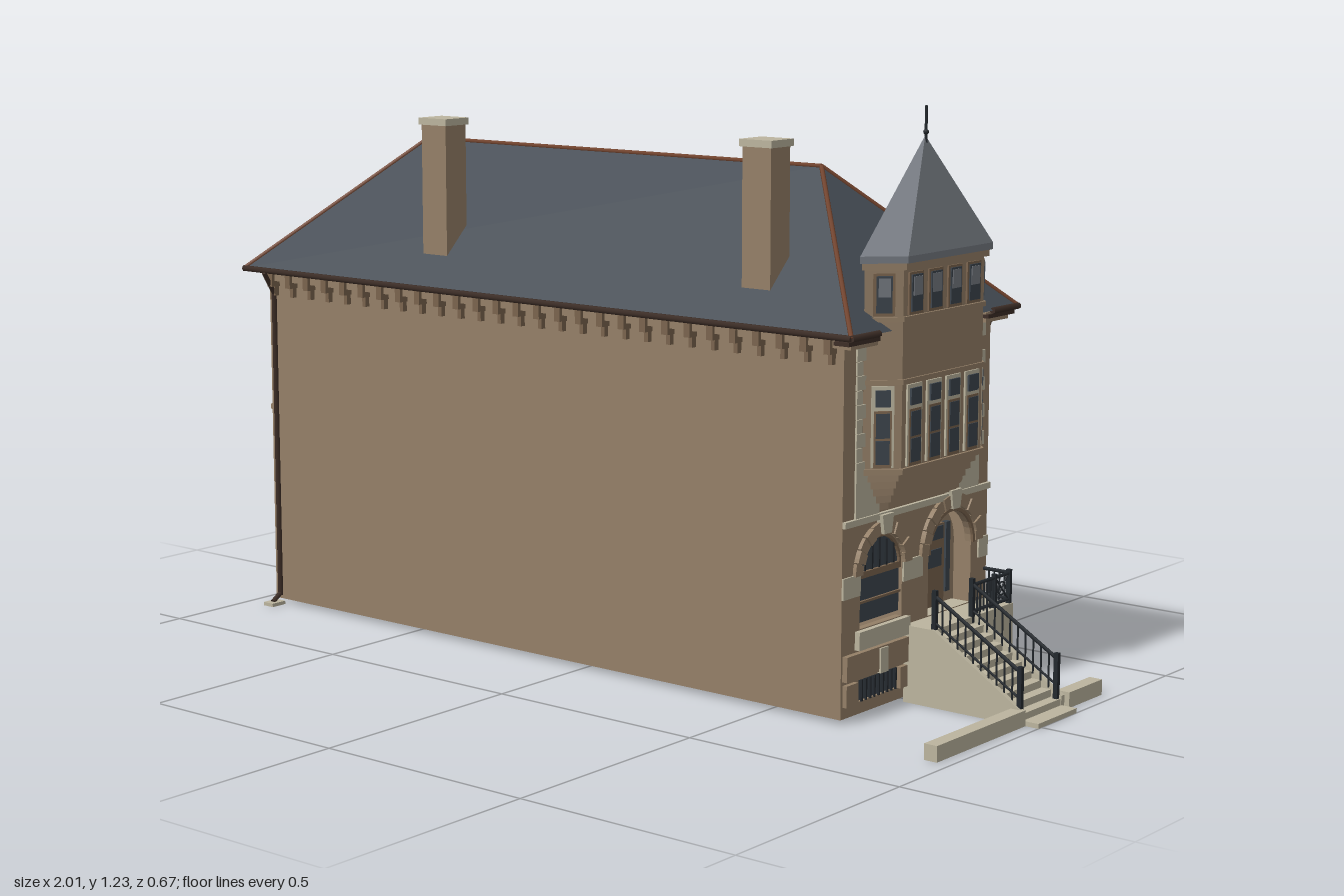
import * as THREE from 'three';

const mat = (name, color, side = THREE.FrontSide) => {
  const m = new THREE.MeshStandardMaterial({ color, side });
  m.name = name;
  return m;
};

export function createModel() {
  const root = new THREE.Group();
  root.name = 'townhouse';
  const D = THREE.DoubleSide;
  const brick = mat('brownstone', 0x947f67, D), stone = mat('pale stone', 0xbbb49e, D);
  const slate = mat('roof slate', 0x454c54, D), lead = mat('spire lead', 0x747980, D);
  const iron = mat('iron', 0x23282d), glass = mat('glass', 0x3d454d);
  const trim = mat('brown trim', 0x7a644e), copper = mat('ridge copper', 0x74452f);
  const gutterM = mat('gutter brown', 0x3c2d26);

  const add = (name, geo, m, parent = root) => {
    const o = new THREE.Mesh(geo, m);
    o.name = name;
    parent.add(o);
    return o;
  };
  const box = (name, m, x0, x1, y0, y1, z0, z1, parent = root) => {
    const g = new THREE.BoxGeometry(x1 - x0, y1 - y0, Math.abs(z1 - z0));
    g.translate((x0 + x1) / 2, (y0 + y1) / 2, (z0 + z1) / 2);
    return add(name, g, m, parent);
  };
  const bar = (name, m, a, b, r, parent = root) => {
    const A = new THREE.Vector3(...a), B = new THREE.Vector3(...b);
    const o = add(name, new THREE.CylinderGeometry(r, r, A.distanceTo(B), 6), m, parent);
    o.position.copy(A).lerp(B, 0.5);
    o.quaternion.setFromUnitVectors(new THREE.Vector3(0, 1, 0), B.sub(A).normalize());
    return o;
  };
  const faces = (name, m, list) => {
    const g = new THREE.BufferGeometry();
    const v = list.flatMap(f => f.slice(2).flatMap((p, i) => [f[0], f[i + 1], p])).flat();
    g.setAttribute('position', new THREE.Float32BufferAttribute(v, 3));
    g.computeVertexNormals();
    return add(name, g, m);
  };
  // Outlines drawn in (z, y), extruded along +x from x0
  const outline = (pts, C = THREE.Shape) => new C(pts.map(([z, y]) => new THREE.Vector2(-z, y)));
  const slab = (name, m, shape, x0, depth) => {
    const g = depth ? new THREE.ExtrudeGeometry(shape, { depth, bevelEnabled: false }) : new THREE.ShapeGeometry(shape);
    return add(name, g.rotateY(Math.PI / 2).translate(x0, 0, 0), m);
  };
  const rect = (z0, z1, y0, y1) => [[z0, y0], [z1, y0], [z1, y1], [z0, y1]];
  const arc = (cz, cy, r, a0 = 0, a1 = Math.PI, n = 16) => Array.from({ length: n + 1 }, (_, i) => {
    const a = a0 + (a1 - a0) * i / n;
    return [cz - r * Math.cos(a), cy + r * Math.sin(a)];
  });
  const archPts = (cz, cy, r, y0) => [[cz + r, y0], [cz - r, y0], ...arc(cz, cy, r)];

  const X0 = -0.95, X1 = 0.68, Z0 = -0.285, Z1 = 0.242, CZ = -0.025;

  // Walls, open underneath
  for (const [z, n] of [[Z1, 'rightWall'], [Z0, 'leftWall']])
    faces(n, brick, [z > 0 ? [[X0, 0.01, z], [X1, 0.01, z], [X1, 0.785, z], [X0, 0.785, z]]
      : [[X1, 0.01, z], [X0, 0.01, z], [X0, 0.785, z], [X1, 0.785, z]]]);
  const front = outline(rect(Z1, Z0, 0.01, 0.785));
  const WZ = 0.105, DZ = -0.145;
  front.holes.push(outline(archPts(WZ, 0.295, 0.074, 0.185), THREE.Path),
    outline(archPts(DZ, 0.295, 0.08, 0.165), THREE.Path), outline(rect(0.18, 0.045, 0.035, 0.08), THREE.Path));
  slab('frontWall', brick, front, X1 - 0.015, 0.015);

  // Rear wall with four sash windows
  const rear = outline(rect(Z1, Z0, 0.01, 0.785));
  for (const z of [-0.155, 0.105]) for (const [y0, y1] of [[0.17, 0.39], [0.55, 0.72]]) {
    rear.holes.push(outline(rect(z + 0.036, z - 0.036, y0, y1), THREE.Path));
    box('rearGlass', glass, X0 + 0.006, X0 + 0.012, y0, y1, z - 0.036, z + 0.036);
    box('rearSash', trim, X0 + 0.002, X0 + 0.014, (y0 + y1) / 2 - 0.004, (y0 + y1) / 2 + 0.004, z - 0.036, z + 0.036);
    for (const s of [-1, 1])
      box('rearFrame', trim, X0 - 0.003, X0 + 0.01, y0, y1, z + s * 0.035 - 0.005, z + s * 0.035 + 0.005);
    box('rearSill', brick, X0 - 0.01, X0, y0 - 0.015, y0, z - 0.048, z + 0.048);
    box('rearLintel', brick, X0 - 0.006, X0, y1, y1 + 0.03, z - 0.048, z + 0.048);
  }
  slab('rearWall', brick, rear, X0, 0);
  box('rearStringCourse', brick, X0 - 0.006, X0, 0.46, 0.472, Z0, Z1);

  // Hipped roof with copper ridges and gutters
  const E = 0.79, e = [[-1, E, 0.275], [0.72, E, 0.275], [0.72, E, -0.33], [-1, E, -0.33]];
  const R0 = [-0.695, 1.088, -0.028], R1 = [0.425, 1.088, -0.028];
  faces('roof', slate, [[e[0], e[1], R1, R0], [e[1], e[2], R1], [e[2], e[3], R0, R1], [e[3], e[0], R0], [e[3], e[2], e[1], e[0]]]);
  for (const [a, b] of [[R0, R1], [e[0], R0], [e[3], R0], [e[1], R1], [e[2], R1]]) bar('ridgeCap', copper, a, b, 0.005);
  for (let i = 0; i < 4; i++) {
    if (i !== 1) bar('gutter', gutterM, e[i], e[(i + 1) % 4], 0.007);
  }
  bar('gutter', gutterM, e[1], [0.72, E, 0.18], 0.007);
  bar('gutter', gutterM, e[2], [0.72, E, -0.23], 0.007);

  // Eaves frieze and brackets
  for (const [z, s] of [[Z1, 1], [Z0, -1]]) {
    box('eavesFrieze', brick, X0, X1, 0.765, 0.786, z, z + s * 0.016);
    for (let i = 0; i < 28; i++) {
      const x = -0.925 + i * 0.0585;
      box('bracket', trim, x - 0.008, x + 0.008, 0.752, 0.786, z, z + s * 0.024);
      box('bracketDrop', trim, x - 0.005, x + 0.005, 0.73, 0.752, z, z + s * 0.012);
    }
    box('frontCornice', brick, X1, X1 + 0.03, 0.765, 0.786, s > 0 ? 0.17 : -0.22, z + s * 0.02);
    box('frontCorniceLip', gutterM, X1, X1 + 0.036, 0.774, 0.782, s > 0 ? 0.17 : -0.22, z + s * 0.036);
  }
  // Downspouts
  const spout = (x, z, s) => {
    bar('downspout', gutterM, [x, 0.02, z], [x, 0.74, z], 0.006);
    bar('downspoutElbow', gutterM, [x, 0.735, z], [x, 0.785, z + s * 0.03], 0.006);
    bar('downspoutFoot', gutterM, [x, 0.025, z], [x, 0.008, z + s * 0.025], 0.006);
    box('splashBlock', stone, x - 0.015, x + 0.015, 0, 0.008, z, z + s * 0.04);
  };
  spout(-0.928, Z1 + 0.008, 1);
  spout(0.664, Z0 - 0.008, -1);

  // Chimneys
  for (const x of [-0.455, 0.435]) {
    box('chimney', brick, x - 0.036, x + 0.036, 0.82, 1.145, 0.143, 0.207);
    box('chimneyCap', stone, x - 0.041, x + 0.041, 1.143, 1.158, 0.138, 0.212);
  }

  // Oriel bay: plan outline grown by o, raised from y0 to y1
  const plan = o => [[X1, 0.176 + o], [0.735 + o, 0.12 + o * 0.5], [0.735 + o, -0.17 - o * 0.5], [X1, -0.226 - o]];
  const prism = (name, m, o, y0, y1) => {
    const s = new THREE.Shape(plan(o).map(([x, z]) => new THREE.Vector2(x, -z)));
    const g = new THREE.ExtrudeGeometry(s, { depth: y1 - y0, bevelEnabled: false });
    add(name, g.rotateX(-Math.PI / 2).translate(0, y0, 0), m);
  };
  for (let i = 0; i < 5; i++) prism('bayCorbel', brick, -0.045 + i * 0.009, 0.42 + i * 0.016, 0.437 + i * 0.016);
  prism('bayBody', brick, 0, 0.5, 0.93);
  prism('baySillCourse', brick, 0.006, 0.5, 0.512);
  prism('bayUpperSill', brick, 0.005, 0.808, 0.818);
  prism('bayMidCourse', brick, 0.004, 0.682, 0.692);
  prism('bayCornice', brick, 0.01, 0.912, 0.928);

  // Bay windows, two storeys
  const bayWindow = (x, z, turn, w) => {
    const g = new THREE.Group();
    g.name = 'bayWindow';
    g.position.set(x, 0, z);
    g.rotation.y = turn;
    root.add(g);
    box('lowerFrame', stone, 0, 0.004, 0.515, 0.68, -w - 0.005, w + 0.005, g);
    box('lowerSash', trim, 0, 0.006, 0.515, 0.63, -w, w, g);
    box('lowerGlass', glass, 0, 0.008, 0.522, 0.57, -w + 0.004, w - 0.004, g);
    box('middleGlass', glass, 0, 0.008, 0.575, 0.625, -w + 0.004, w - 0.004, g);
    box('transomGlass', glass, 0, 0.008, 0.638, 0.672, -w + 0.003, w - 0.003, g);
    box('upperFrame', trim, 0, 0.004, 0.82, 0.905, -w - 0.004, w + 0.004, g);
    box('upperGlass', glass, 0, 0.007, 0.826, 0.9, -w + 0.002, w - 0.002, g);
    box('upperBlind', lead, 0, 0.0085, 0.858, 0.896, -w + 0.006, w - 0.006, g);
  };
  for (let i = 0; i < 4; i++) bayWindow(0.735, 0.08 - i * 0.0695, 0, 0.021);
  bayWindow(0.7075, 0.148, -Math.PI / 4, 0.018);
  bayWindow(0.7075, -0.198, Math.PI / 4, 0.018);

  // Half spire with a flat back and finial
  const ring = plan(0.016).map(([x, z]) => [x, 0.926, z]), lip = ring.map(([x, , z]) => [x, 0.94, z]);
  const apex = [0.683, 1.165, CZ];
  faces('spire', lead, [0, 1, 2].flatMap(i => [[lip[i], lip[i + 1], apex], [ring[i], ring[i + 1], lip[i + 1], lip[i]]]));
  faces('spireBack', brick, [[ring[3], ring[0], lip[0], apex, lip[3]]]);
  bar('finial', iron, [0.685, 1.15, CZ], [0.685, 1.225, CZ], 0.003);
  add('finialKnob', new THREE.SphereGeometry(0.006, 8, 6), iron).position.set(0.685, 1.172, CZ);

  // Pale stone dressings on the front
  const F = X1 + 0.004;
  for (const [a, b] of [[0.202, 0.12], [-0.17, -0.245]]) box('spandrelStone', stone, X1, F, 0.41, 0.5, a, b);
  for (let i = 0; i < 9; i++) {
    const w = i % 2 ? 0 : 0.012, y = 0.5 + i * 0.029;
    box('quoin', stone, X1, F, y, y + 0.028, 0.202, 0.182 - w);
    box('quoin', stone, X1, F, y, y + 0.028, -0.228, -0.25 - w);
  }
  box('stringCourse', stone, X1, X1 + 0.008, 0.402, 0.415, Z1, Z0);
  for (const [a, b] of [[Z1, 0.182], [0.03, -0.04], [-0.25, Z0]]) box('impostBlock', stone, X1, F, 0.256, 0.3, a, b);
  box('windowSill', stone, X1, X1 + 0.012, 0.145, 0.183, 0.195, 0.015);
  box('basementLintel', brick, X1, X1 + 0.012, 0.088, 0.14, 0.237, 0.015);
  box('basementKeystone', stone, X1, X1 + 0.016, 0.085, 0.137, 0.125, 0.098);
  for (const z of [0.215, 0.025]) box('plinthBlock', brick, X1, X1 + 0.01, 0.035, 0.08, z - 0.02, z + 0.02);
  box('basementGlass', glass, X1 - 0.012, X1 - 0.006, 0.035, 0.08, 0.045, 0.18);
  for (let i = 0; i < 9; i++) box('basementBar', iron, X1, X1 + 0.004, 0.035, 0.08, 0.05 + i * 0.015, 0.054 + i * 0.015);

  // Voussoirs round both arches
  const voussoirs = (cz, r0, r1, n) => {
    for (let i = 0; i < n; i++) {
      const a = (i + 0.04) * Math.PI / n, b = (i + 0.96) * Math.PI / n;
      slab('voussoir', brick, outline([...arc(cz, 0.297, r0, a, b, 3), ...arc(cz, 0.297, r1, b, a, 3)]), X1, 0.008 + 0.003 * (i % 2));
    }
  };
  voussoirs(WZ, 0.074, 0.1, 11);
  voussoirs(DZ, 0.088, 0.115, 13);
  slab('doorArchMoulding', trim, outline([...arc(DZ, 0.295, 0.08), ...arc(DZ, 0.295, 0.087, Math.PI, 0)]), X1, 0.006);
  for (const [z, y] of [[WZ, 0.372], [DZ, 0.382]])
    slab('keystone', stone, outline([[z + 0.013, y], [z - 0.013, y], [z - 0.02, y + 0.04], [z + 0.02, y + 0.04]]), X1, 0.016);

  // Arched window
  slab('archGlass', glass, outline(archPts(WZ, 0.295, 0.074, 0.195)), X1 - 0.014, 0.006);
  for (let i = -2; i <= 2; i++) box('archMullion', iron, X1 - 0.008, X1 - 0.004, 0.295, 0.362 - Math.abs(i) * 0.008, WZ + i * 0.025 - 0.002, WZ + i * 0.025 + 0.002);
  box('archTransom', trim, X1 - 0.01, X1 - 0.002, 0.287, 0.3, WZ - 0.074, WZ + 0.074);
  box('archMeetingRail', trim, X1 - 0.01, X1 - 0.003, 0.235, 0.24, WZ - 0.074, WZ + 0.074);
  slab('archFrame', trim, outline([...arc(WZ, 0.295, 0.068), ...arc(WZ, 0.295, 0.075, Math.PI, 0)]), X1 - 0.01, 0.008);

  // Recessed entrance
  slab('entranceBack', brick, outline(archPts(DZ, 0.295, 0.085, 0.16)), X1 - 0.05, 0.004);
  box('door', trim, X1 - 0.046, X1 - 0.036, 0.165, 0.34, -0.07, -0.178);
  box('doorGlass', glass, X1 - 0.036, X1 - 0.033, 0.25, 0.288, -0.11, -0.165);
  box('doorTransomGlass', glass, X1 - 0.036, X1 - 0.033, 0.308, 0.336, -0.105, -0.17);
  box('sideLight', glass, X1 - 0.046, X1 - 0.034, 0.19, 0.34, -0.182, -0.198);
  box('entranceFloor', stone, X1 - 0.05, X1, 0.155, 0.165, -0.065, -0.225);

  // Landing, steps, side walls and kerb
  const SA = 0.008, SB = -0.132, N = 9;
  box('landing', stone, X1, 0.752, 0, 0.163, SA, -0.282);
  for (let i = 0; i < N; i++) {
    const x = 0.752 + i * 0.0235, y = 0.148 - i * 0.0155;
    box('step', stone, x, x + 0.0235, 0, y, SA, SB);
  }
  const cheek = new THREE.Shape([[X1, 0], [0.965, 0], [0.965, 0.03], [0.752, 0.163], [X1, 0.163]].map(p => new THREE.Vector2(...p)));
  for (const z of [SA, SB - 0.012])
    add('stairCheek', new THREE.ExtrudeGeometry(cheek, { depth: 0.012, bevelEnabled: false }).translate(0, 0, z), stone);
  box('footSlab', stone, 0.96, 1, 0, 0.01, 0.012, -0.135);
  box('kerb', stone, 0.94, 0.97, 0, 0.033, 0.012, 0.33);
  box('kerb', stone, 0.94, 0.97, 0, 0.033, -0.285, -0.155);

  // Iron railings
  for (const z of [SA + 0.002, SB + 0.004]) {
    const y = x => 0.232 - (x - 0.748) * 0.6;
    bar('handrail', iron, [0.748, y(0.748), z], [0.955, y(0.955), z], 0.004);
    bar('bottomRail', iron, [0.748, y(0.748) - 0.055, z], [0.955, y(0.955) - 0.055, z], 0.0025);
    for (let i = 1; i < 11; i++) {
      const x = 0.748 + i * 0.0188;
      bar('baluster', iron, [x, y(x) - 0.075, z], [x, y(x), z], 0.002);
    }
    for (const [x, y0] of [[0.748, 0.15], [0.955, 0.01]]) box('newelPost', iron, x - 0.005, x + 0.005, y0, y(x) + 0.012, z - 0.005, z + 0.005);
  }
  for (const y of [0.172, 0.228]) {
    bar('landingRail', iron, [0.745, y, SB], [0.745, y, -0.278], 0.004);
    bar('landingSideRail', iron, [X1, y, -0.278], [0.745, y, -0.278], 0.004);
  }
  for (let i = 0; i < 7; i++) bar('landingBaluster', iron, [0.745, 0.165, -0.14 - i * 0.0125], [0.745, 0.23, -0.14 - i * 0.0125], 0.002);
  for (let i = 1; i < 5; i++) bar('landingSideBaluster', iron, [X1 + i * 0.013, 0.165, -0.278], [X1 + i * 0.013, 0.23, -0.278], 0.002);
  for (const z of [-0.218, -0.275]) box('landingPost', iron, 0.74, 0.75, 0.163, 0.236, z - 0.004, z + 0.004);
  const rosette = add('railRosette', new THREE.TorusGeometry(0.014, 0.002, 6, 16), iron);
  rosette.position.set(0.745, 0.2, -0.246);
  rosette.rotation.y = Math.PI / 2;
  for (const s of [-1, 1]) bar('railCross', iron, [0.745, 0.2 - s * 0.028, -0.272], [0.745, 0.2 + s * 0.028, -0.22], 0.002);

  return root;
}
